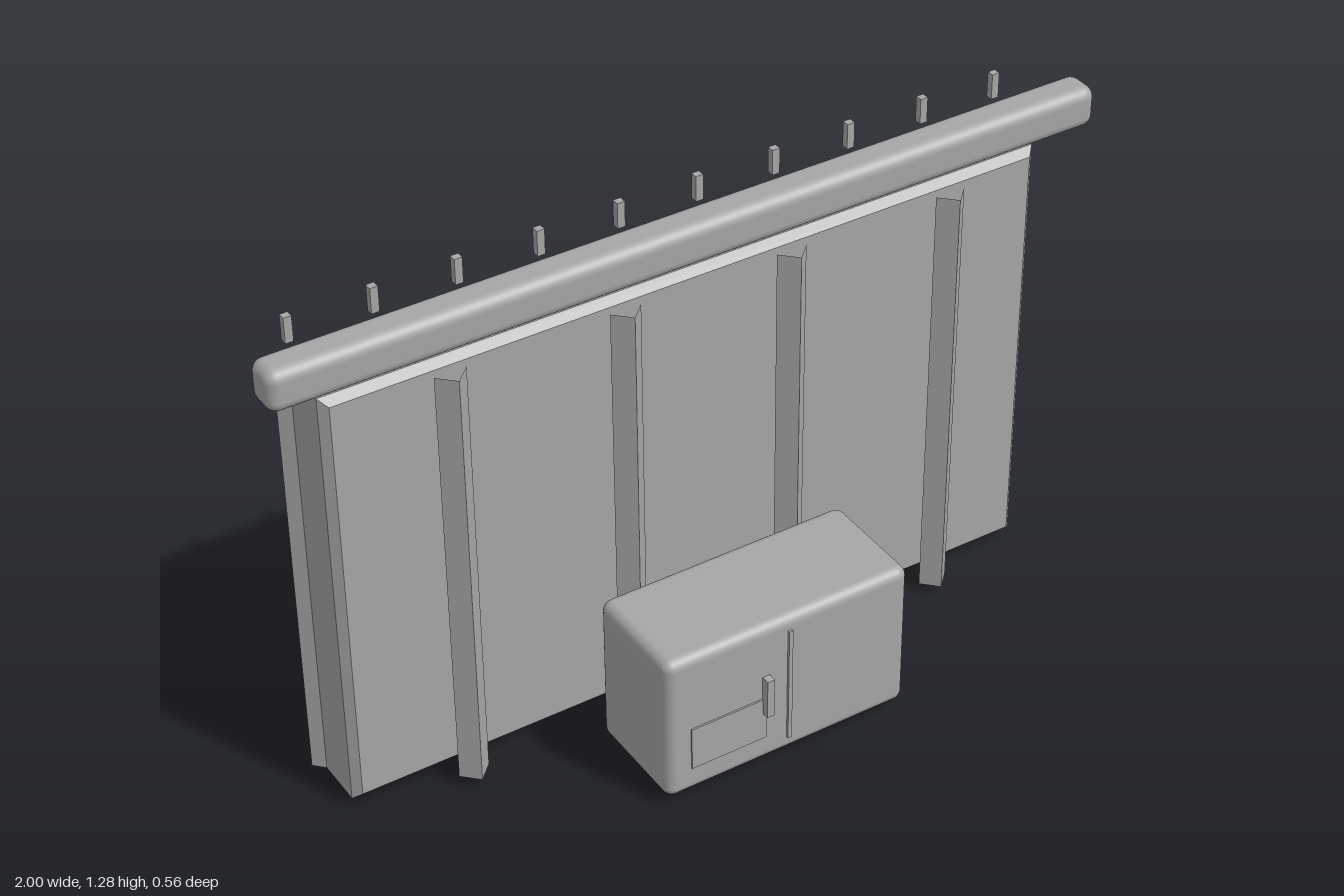
import * as THREE from 'three';
import { RoundedBoxGeometry } from 'three/addons/geometries/RoundedBoxGeometry.js';

export function createModel() {
  const model = new THREE.Group();
  const paint = new THREE.MeshStandardMaterial({ color: 0xa6a6a6 });
  paint.name = 'plainGrey';

  const add = (name, geometry, x, y, z) => {
    const mesh = new THREE.Mesh(geometry, paint);
    mesh.name = name;
    mesh.position.set(x, y, z);
    model.add(mesh);
    return mesh;
  };
  const box = (w, h, d) => new THREE.BoxGeometry(w, h, d);

  // Open tube with a diamond section and flat faces
  const diamondRod = (radius, length) => {
    const g = new THREE.CylinderGeometry(radius, radius, length, 4, 1, true).toNonIndexed();
    g.computeVertexNormals();
    return g;
  };

  // Box with a single chamfer on its front and back edges
  const chamferedBox = (w, h, d, c) => {
    const x = w / 2 - c, y = h / 2 - c;
    const outline = new THREE.Shape([[-x, -y], [x, -y], [x, y], [-x, y]]
      .map(([px, py]) => new THREE.Vector2(px, py)));
    const g = new THREE.ExtrudeGeometry(outline, {
      depth: d - 2 * c, bevelThickness: c, bevelSize: c, bevelSegments: 1,
    });
    return g.translate(0, 0, -d / 2 + c);
  };

  // Sign panel, with a raised face on its back
  const W = 1.75, H = 1.06, midY = 0.555;
  const backZ = -0.257;
  add('signPanel', chamferedBox(W, H, 0.16, 0.018), 0, midY, -0.178);
  add('signFace', box(W - 0.13, H - 0.13, 0.012), 0, midY, backZ - 0.005);

  // Frame rods around the back edge of the panel
  for (const s of [-1, 1]) {
    add('frameSide', diamondRod(0.024, H), s * W / 2, midY, backZ);
    add('frameRail', diamondRod(0.024, W), 0, midY + s * H / 2, backZ)
      .rotation.z = Math.PI / 2;
  }

  // Support posts in front of the panel
  for (const x of [-0.61, -0.203, 0.203, 0.61]) {
    add('supportPost', diamondRod(0.037, H), x, midY, -0.053);
  }

  // Top beam with a row of pegs
  add('topBeam', new RoundedBoxGeometry(2, 0.098, 0.088, 4, 0.027), 0, 1.169, -0.101);
  for (let i = 0; i < 10; i++) {
    add('peg', box(0.018, 0.06, 0.017), -0.91 + i * 0.188, 1.25, -0.146);
  }

  // Cabinet with its door seam, plate and handle
  add('cabinet', new RoundedBoxGeometry(0.62, 0.375, 0.272, 4, 0.025), 0, 0.212, 0.124);
  add('doorSeam', box(0.01, 0.3, 0.009), 0, 0.214, 0.2615);
  add('doorPlate', box(0.19, 0.11, 0.006), -0.155, 0.148, 0.261);
  add('handle', box(0.018, 0.1, 0.02), -0.061, 0.215, 0.272);

  return model;
}
